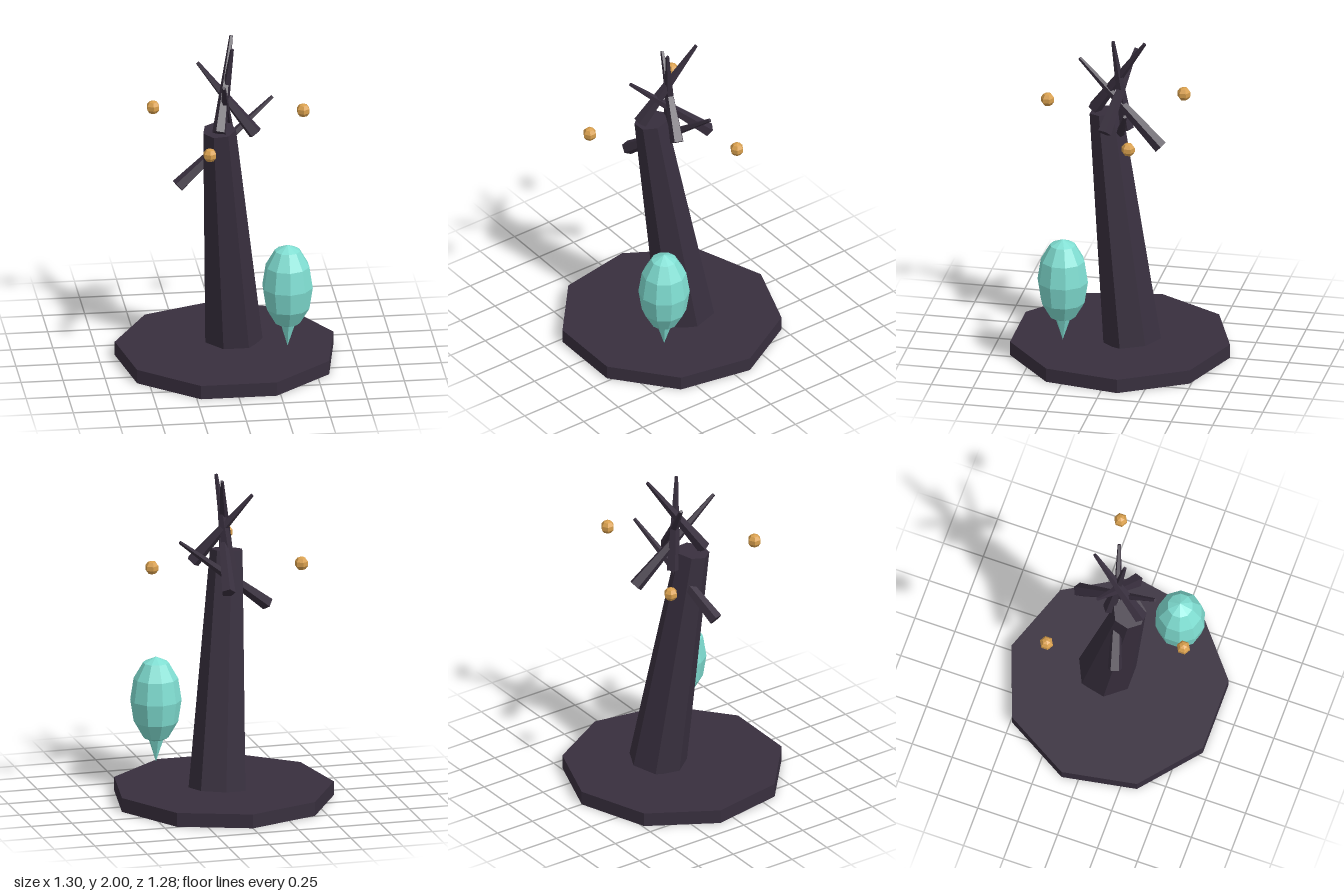
import * as THREE from 'three';

const bark = new THREE.MeshStandardMaterial({ name: 'darkBark', color: 0x382f3e, flatShading: true });
const teal = new THREE.MeshStandardMaterial({ name: 'teal', color: 0x80ded2, flatShading: true });
const amber = new THREE.MeshStandardMaterial({ name: 'amber', color: 0xd9a04e, flatShading: true });

const UP = new THREE.Vector3(0, 1, 0);

function add(parent, name, geometry, material, x = 0, y = 0, z = 0) {
  const mesh = new THREE.Mesh(geometry, material);
  mesh.name = name;
  mesh.position.set(x, y, z);
  parent.add(mesh);
  return mesh;
}

// Tapered, faceted limb running from point a (thick) to point b (thin)
function limb(parent, name, a, b, ra, rb, sides) {
  const start = new THREE.Vector3(...a);
  const end = new THREE.Vector3(...b);
  const axis = end.clone().sub(start);
  const geometry = new THREE.CylinderGeometry(rb, ra, axis.length(), sides).rotateY(Math.PI);
  const mesh = add(parent, name, geometry, bark);
  mesh.position.copy(start).add(end).multiplyScalar(0.5);
  mesh.quaternion.setFromUnitVectors(UP, axis.normalize());
}

export function createModel() {
  const model = new THREE.Group();
  model.name = 'witheredTree';

  // Nine-sided ground slab
  add(model, 'base', new THREE.CylinderGeometry(0.66, 0.66, 0.085, 9).rotateY(Math.PI), bark, 0, 0.0425, 0.015);

  // Leaning trunk
  limb(model, 'trunk', [0.05, 0.088, -0.065], [-0.055, 1.5, 0.115], 0.175, 0.1, 7);

  // Crossing branches: thick end, thin tip
  const branches = new THREE.Group();
  branches.name = 'branches';
  model.add(branches);
  [
    [[-0.3, 1.15, 0.11], [0.285, 1.62, -0.07]],
    [[0.035, 1.335, -0.235], [-0.045, 1.83, 0.272]],
    [[0.165, 1.452, 0.08], [-0.165, 1.87, -0.045]],
    [[-0.062, 1.51, 0.185], [0.048, 1.995, -0.14]],
    [[-0.035, 1.41, -0.015], [0.03, 1.985, 0.055]],
  ].forEach(([a, b], i) => limb(branches, `branch${i + 1}`, a, b, 0.043, 0.011, 5));

  // Floating pod with a pointed tail
  const pod = new THREE.Group();
  pod.name = 'pod';
  pod.position.set(0.33, 0, 0.295);
  model.add(pod);
  const podBody = new THREE.SphereGeometry(0.152, 10, 6).rotateY(Math.PI / 2).scale(1, 1.74, 1);
  add(pod, 'podBody', podBody, teal, 0, 0.555, 0);
  add(pod, 'podTail', new THREE.ConeGeometry(0.05, 0.15, 6).rotateX(Math.PI), teal, 0, 0.25, 0);

  // Three glowing orbs around the crown
  [[-0.4, -0.283], [0.475, -0.13], [-0.155, 0.488]].forEach(([x, z], i) => {
    const orb = new THREE.SphereGeometry(0.042, 6, 5).rotateY(Math.PI / 2);
    add(model, `orb${i + 1}`, orb, amber, x, 1.497, z);
  });

  return model;
}
